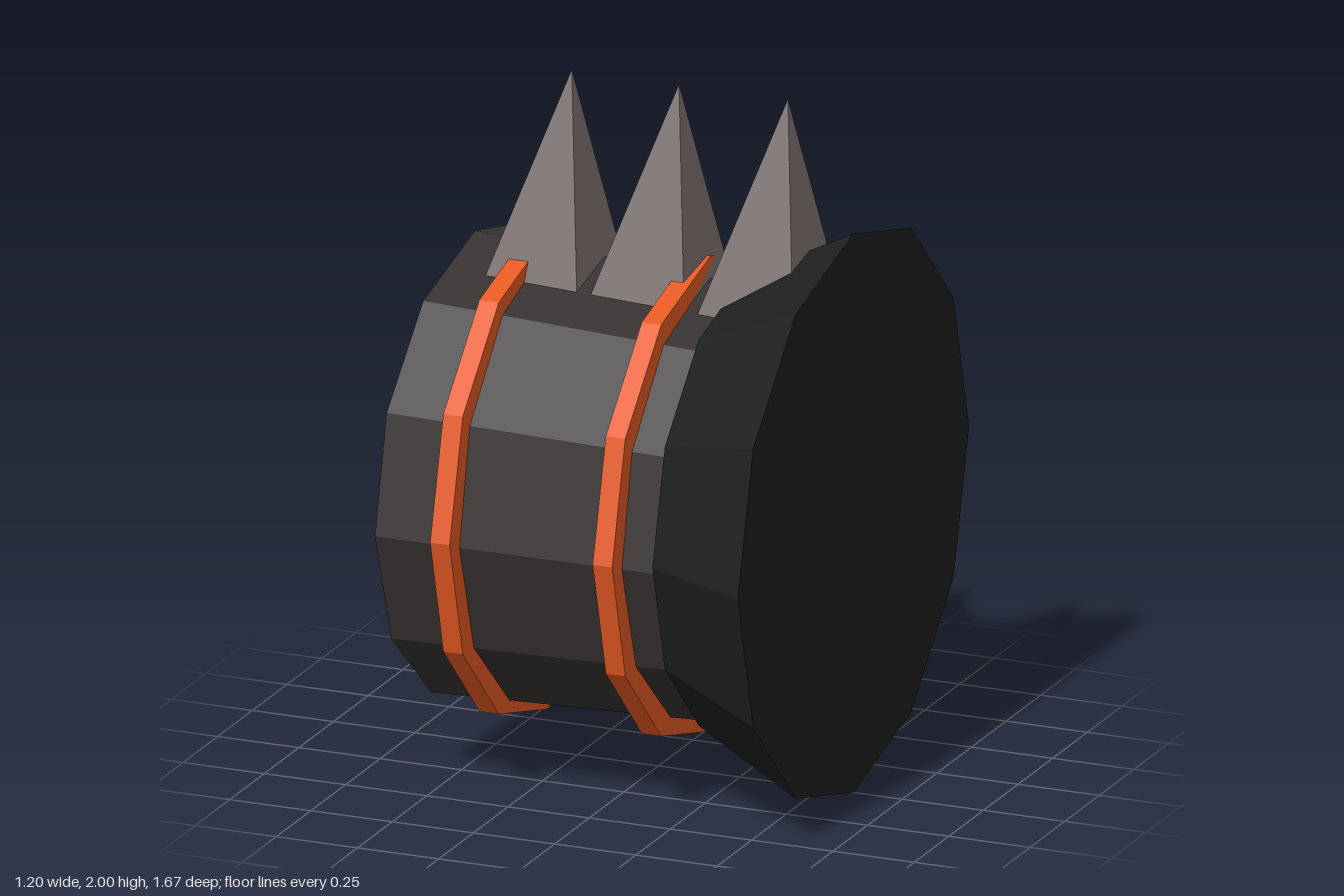
import * as THREE from 'three';

const SIDES = 12;
const AXIS_Y = 0.835;

const material = (color) => new THREE.MeshStandardMaterial({ color, flatShading: true });

// Twelve-sided drum lying along x, centred on the origin
function drum(rLeft, rRight, length) {
  return new THREE.CylinderGeometry(rRight, rLeft, length, SIDES).rotateZ(-Math.PI / 2);
}

// Five-sided spike leaning back, its base sunk into the body
function spikeGeometry() {
  const base = [[0.15, 0.19], [0.197, -0.07], [0, -0.207], [-0.197, -0.07], [-0.15, 0.19]];
  const baseY = 1.42;
  const points = [];
  for (let i = 0; i < base.length; i++) {
    const [ax, az] = base[i];
    const [bx, bz] = base[(i + 1) % base.length];
    points.push(0, 2, -0.125, ax, baseY, az, bx, baseY, bz); // side
    points.push(0, baseY, 0, bx, baseY, bz, ax, baseY, az); // underside
  }
  const geometry = new THREE.BufferGeometry();
  geometry.setAttribute('position', new THREE.Float32BufferAttribute(points, 3));
  geometry.computeVertexNormals();
  return geometry;
}

export function createModel() {
  const group = new THREE.Group();
  const add = (name, geometry, mat, x, y) => {
    const mesh = new THREE.Mesh(geometry, mat);
    mesh.name = name;
    mesh.position.set(x, y, 0);
    group.add(mesh);
  };

  // Body: slightly turned, with the left end shifted back and cut at a slant
  const body = drum(0.685, 0.647, 0.83).rotateX(THREE.MathUtils.degToRad(2.5));
  const p = body.attributes.position;
  for (let i = 0; i < p.count; i++) {
    const left = p.getX(i) < 0;
    const z = p.getZ(i);
    p.setX(i, left ? -0.57 + -0.044 * -z : 0.265);
    if (left) p.setX(i, -0.57 - 0.044 * z);
    p.setZ(i, z - (left ? 0.045 : 0.007));
  }
  body.computeVertexNormals();
  add('body', body, material(0x363231), 0, AXIS_Y);

  // Flared cuff
  add('flaredCuff', drum(0.665, 0.835, 0.335), material(0x1f1f1f), 0.4325, AXIS_Y);

  // Bands
  const bandMaterial = material(0xe65a24);
  [-0.37, 0.13].forEach((x, i) => add(`band${i + 1}`, drum(0.71, 0.71, 0.06), bandMaterial, x, AXIS_Y));

  // Row of spikes
  const spike = spikeGeometry();
  const spikeMaterial = material(0x665c5a);
  [-0.32, 0.01, 0.345].forEach((x, i) => add(`spike${i + 1}`, spike, spikeMaterial, x, 0));

  return group;
}
